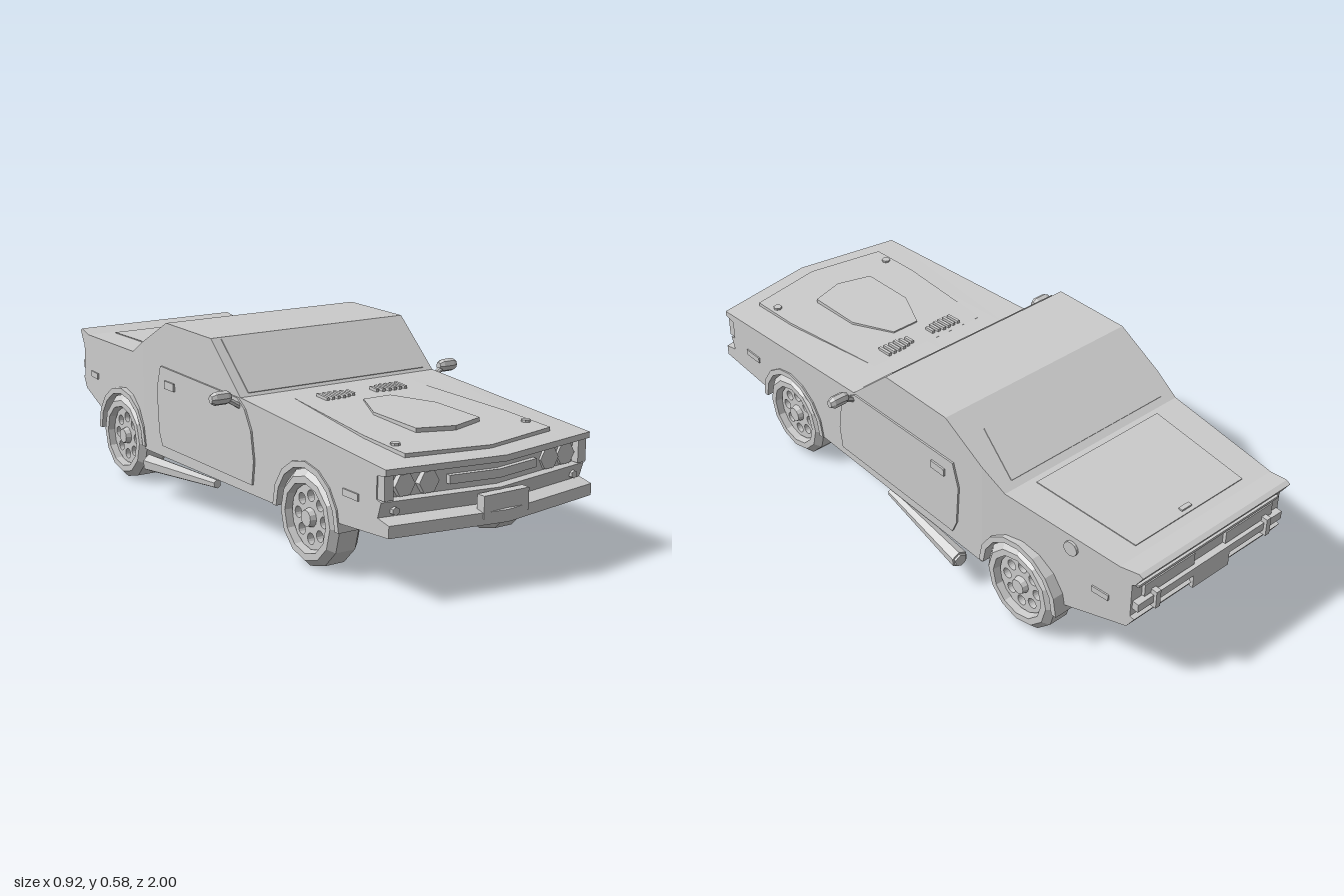
import * as THREE from 'three';

const HALF = 0.363;        // half width of the body
const SPLIT = -0.41;       // the body tapers behind this z
const AXLES = [0.55, -0.57];
const taper = z => (z < SPLIT ? 1 - 0.28 * (SPLIT - z) : 1);
const vee = x => 0.06 * (1 - Math.abs(x) / HALF);

export function createModel() {
  const car = new THREE.Group();
  car.name = 'car';
  const mat = new THREE.MeshStandardMaterial({ color: 0xcccccc, flatShading: true });

  const add = (name, geo, parent = car) => {
    const mesh = new THREE.Mesh(geo, mat);
    mesh.name = name;
    parent.add(mesh);
    return mesh;
  };
  const box = (name, w, h, d, x, y, z) => {
    const m = add(name, new THREE.BoxGeometry(w, h, d));
    m.position.set(x, y, z);
    return m;
  };
  const shapeOf = pts => new THREE.Shape(pts.map(p => new THREE.Vector2(p[0], p[1])));

  // Side outline of [z, y] points extruded across x, then bent to the V nose and tapered tail
  const slab = (name, pts, x0, x1, bend = true) => {
    const geo = new THREE.ExtrudeGeometry(shapeOf(pts.map(([z, y]) => [-z, y])), { depth: x1 - x0, bevelEnabled: false });
    geo.rotateY(Math.PI / 2).translate(x0, 0, 0);
    const p = geo.attributes.position;
    for (let i = 0; bend && i < p.count; i++) {
      const x = p.getX(i), z = p.getZ(i);
      if (z > 0.8) p.setZ(i, z + vee(x));
      p.setX(i, x * taper(z));
    }
    geo.computeVertexNormals();
    return add(name, geo);
  };

  // Flat panel lying on a slope from [z0, y0] up to [z1, y1]; it may thin out towards the far end
  const sheet = (name, pts, [z0, y0], [z1, y1], depth, thinTo = 0) => {
    const geo = new THREE.ExtrudeGeometry(shapeOf(pts), { depth: depth + 0.01, bevelEnabled: false });
    geo.translate(0, 0, -0.01);
    const p = geo.attributes.position;
    for (let i = 0; thinTo && i < p.count; i++)
      if (p.getZ(i) > 0) p.setZ(i, depth * Math.max(0.02, 1 - p.getY(i) / thinTo));
    geo.computeVertexNormals();
    const m = add(name, geo);
    m.rotation.order = 'YXZ';
    m.rotation.y = z1 > z0 ? Math.PI : 0;
    m.rotation.x = -Math.atan2(Math.abs(z1 - z0), y1 - y0);
    m.position.set(0, y0, z0);
    return m;
  };

  const rod = (name, a, b, ra, rb, sides) => {
    const A = new THREE.Vector3(...a), B = new THREE.Vector3(...b);
    const m = add(name, new THREE.CylinderGeometry(rb, ra, A.distanceTo(B), sides));
    m.position.copy(A).add(B).multiplyScalar(0.5);
    m.quaternion.setFromUnitVectors(new THREE.Vector3(0, 1, 0), B.sub(A).normalize());
    return m;
  };

  const arc = (c, r, from, to) => Array.from({ length: 9 }, (_, i) => {
    const a = from + (to - from) * i / 8;
    return [c + r * Math.cos(a), 0.145 + r * Math.sin(a)];
  });

  // Body: solid core without arches, side slabs with wheel arches cut out
  const frontPart = cut => [[SPLIT, 0.135], ...(cut ? arc(AXLES[0], 0.15, Math.PI, 0) : [[0.4, 0.135]]),
    [0.7, 0.172], [0.94, 0.19], [0.94, 0.225], [0.89, 0.235], [0.905, 0.28], [0.885, 0.285],
    [0.885, 0.35], [0.925, 0.357], [0.925, 0.375], [0.2, 0.428], [0.03, 0.58], [-0.25, 0.585], [SPLIT, 0.499]];
  const rearPart = cut => [[SPLIT, 0.499], [-0.5, 0.45], [-0.92, 0.435], [-0.985, 0.447], [-1, 0.44],
    [-0.975, 0.4], [-0.965, 0.395], [-0.965, 0.28], [-0.98, 0.275], [-0.955, 0.235], [-0.72, 0.165],
    ...(cut ? arc(AXLES[1], 0.15, Math.PI, 0) : []), [SPLIT, 0.135]];
  for (const part of [frontPart, rearPart]) {
    const end = part === frontPart ? 'front' : 'rear';
    slab(end + 'BodyCore', part(false), -0.255, 0);
    slab(end + 'BodyCore', part(false), 0, 0.255);
    slab(end + 'BodySide', part(true), 0.255, HALF);
    slab(end + 'BodySide', part(true), -HALF, -0.255);
  }

  // Windows
  sheet('windshield', [[-0.33, 0.012], [0.33, 0.012], [0.33, 0.22], [-0.33, 0.22]], [0.2, 0.428], [0.03, 0.58], 0.003);
  sheet('rearWindow', [[-0.31, 0.025], [0.31, 0.025], [0.28, 0.2], [-0.28, 0.2]], [-0.5, 0.45], [-0.25, 0.585], 0.003);

  // Hood panel, scoop, louvers and trunk lid
  const hood = [[0.93, 0.375], [0.2, 0.428]];
  sheet('hoodPanel', [[0, 0.01], [0.26, 0.06], [0.26, 0.25], [0.22, 0.66], [-0.22, 0.66], [-0.26, 0.25], [-0.26, 0.06]], ...hood, 0.014, 0.66);
  sheet('hoodScoop', [[0, 0.165], [0.115, 0.2], [0.115, 0.4], [0.05, 0.54], [-0.05, 0.54], [-0.115, 0.4], [-0.115, 0.2]], ...hood, 0.032, 0.7);
  sheet('trunkLid', [[-0.22, 0.03], [0.22, 0.03], [0.25, 0.4], [-0.25, 0.4]], [-0.92, 0.435], [-0.5, 0.45], 0.003);
  box('trunkLock', 0.04, 0.008, 0.015, 0, 0.441, -0.87);

  // Grille bar, front plate, tail panel and rear plate
  const bar = [[0.88, 0.305], [0.9, 0.305], [0.9, 0.33], [0.88, 0.33]];
  slab('grilleBar', bar, -0.155, 0);
  slab('grilleBar', bar, 0, 0.155);
  box('frontPlate', 0.16, 0.065, 0.03, 0, 0.24, 0.975);
  box('rearBumper', 0.6, 0.028, 0.03, 0, 0.318, -0.972);
  box('tailTrim', 0.58, 0.008, 0.02, 0, 0.385, -0.965);
  box('rearPlate', 0.15, 0.055, 0.014, 0, 0.285, -0.98);

  for (const s of [-1, 1]) {
    // Lights, trim and hood fittings
    for (const x of [0.215, 0.287]) {
      const z = 0.885 + vee(x);
      rod('headlight', [s * x, 0.318, z - 0.02], [s * x, 0.318, z + 0.012], 0.036, 0.034, 6).rotateY(Math.PI / 6);
    }
    rod('fogLight', [s * 0.32, 0.252, 0.88], [s * 0.32, 0.252, 0.915], 0.012, 0.012, 6);
    box('grilleEnd', 0.03, 0.07, 0.04, s * 0.345, 0.32, 0.895);
    box('tailLight', 0.2, 0.042, 0.016, s * 0.165, 0.356, -0.968);
    box('bumperGuard', 0.018, 0.06, 0.03, s * 0.23, 0.318, -0.982);
    box('frontMarker', 0.01, 0.02, 0.07, s * HALF, 0.27, 0.77);
    box('rearMarker', 0.01, 0.02, 0.06, s * HALF * taper(-0.86), 0.3, -0.86).rotation.y = s * 0.1;
    rod('hoodPin', [s * 0.235, 0.37, 0.795], [s * 0.235, 0.403, 0.795], 0.014, 0.014, 8);
    for (let i = 0; i < 6; i++)
      box('hoodLouver', 0.01, 0.012, 0.055 - Math.max(0, 2 - i) * 0.009, s * (0.045 + i * 0.02), 0.424, 0.317).rotation.x = 0.07;

    // Door with handle
    const inner = s * HALF - 0.006, outer = inner + 0.012;
    slab('door', [[0.27, 0.175], [0.28, 0.25], [0.265, 0.34], [0.23, 0.4], [0.19, 0.427],
      [-0.285, 0.44], [-0.31, 0.36], [-0.3, 0.22], [-0.28, 0.175]], inner, outer);
    box('doorHandle', 0.016, 0.026, 0.06, s * 0.367, 0.385, -0.22);

    // Mirror
    rod('mirrorStem', [s * 0.36, 0.4, 0.2], [s * 0.41, 0.43, 0.195], 0.009, 0.009, 6);
    const head = add('mirrorHead', new THREE.LatheGeometry(
      [[0, -0.034], [0.013, -0.034], [0.021, -0.02], [0.021, 0.02], [0.013, 0.034], [0, 0.034]]
        .map(p => new THREE.Vector2(...p)), 8));
    head.rotation.z = -s * Math.PI / 2;
    head.position.set(s * 0.428, 0.434, 0.193);
    head.scale.z = 0.85;

    // Side exhaust
    rod('exhaustPipe', [s * 0.352, 0.12, 0.04], [s * 0.387, 0.108, -0.335], 0.014, 0.029, 6);
    rod('exhaustTip', [s * 0.386, 0.108, -0.32], [s * 0.388, 0.107, -0.342], 0.022, 0.022, 6);

    for (const z of AXLES) {
      // Wheel arch lip
      const lip = [...arc(z, 0.168, 0, Math.PI), ...arc(z, 0.149, Math.PI, 0)];
      slab('archLip', lip, s > 0 ? 0.3 : -0.368, s > 0 ? 0.368 : -0.3, false);

      // Wheel: tyre, drilled rim and hub, built facing +z
      const wheel = new THREE.Group();
      wheel.name = 'wheel';
      const tyre = new THREE.LatheGeometry([[0, -0.053], [0.125, -0.053], [0.145, -0.033], [0.145, 0.033],
        [0.125, 0.053], [0.104, 0.053], [0.098, 0.01], [0, 0.01]].map(p => new THREE.Vector2(...p)), 12);
      add('tyre', tyre.rotateX(Math.PI / 2), wheel);
      const disc = new THREE.Shape().absarc(0, 0, 0.096, 0, Math.PI * 2);
      for (let i = 0; i < 8; i++) {
        const a = i * Math.PI / 4;
        disc.holes.push(new THREE.Path().absarc(0.064 * Math.cos(a), 0.064 * Math.sin(a), 0.017, 0, Math.PI * 2, true));
      }
      add('rim', new THREE.ExtrudeGeometry(disc, { depth: 0.022, bevelEnabled: false, curveSegments: 8 }), wheel).position.z = 0.01;
      add('hub', new THREE.CylinderGeometry(0.024, 0.032, 0.03, 12).rotateX(Math.PI / 2), wheel).position.z = 0.035;
      wheel.rotation.y = s * Math.PI / 2;
      wheel.position.set(s * 0.314, 0.145, z);
      car.add(wheel);
    }
  }

  // Fuel cap on the left flank
  const capX = HALF * taper(-0.75);
  rod('fuelCap', [capX - 0.01, 0.4, -0.75], [capX + 0.008, 0.4, -0.752], 0.024, 0.024, 12);
  return car;
}
